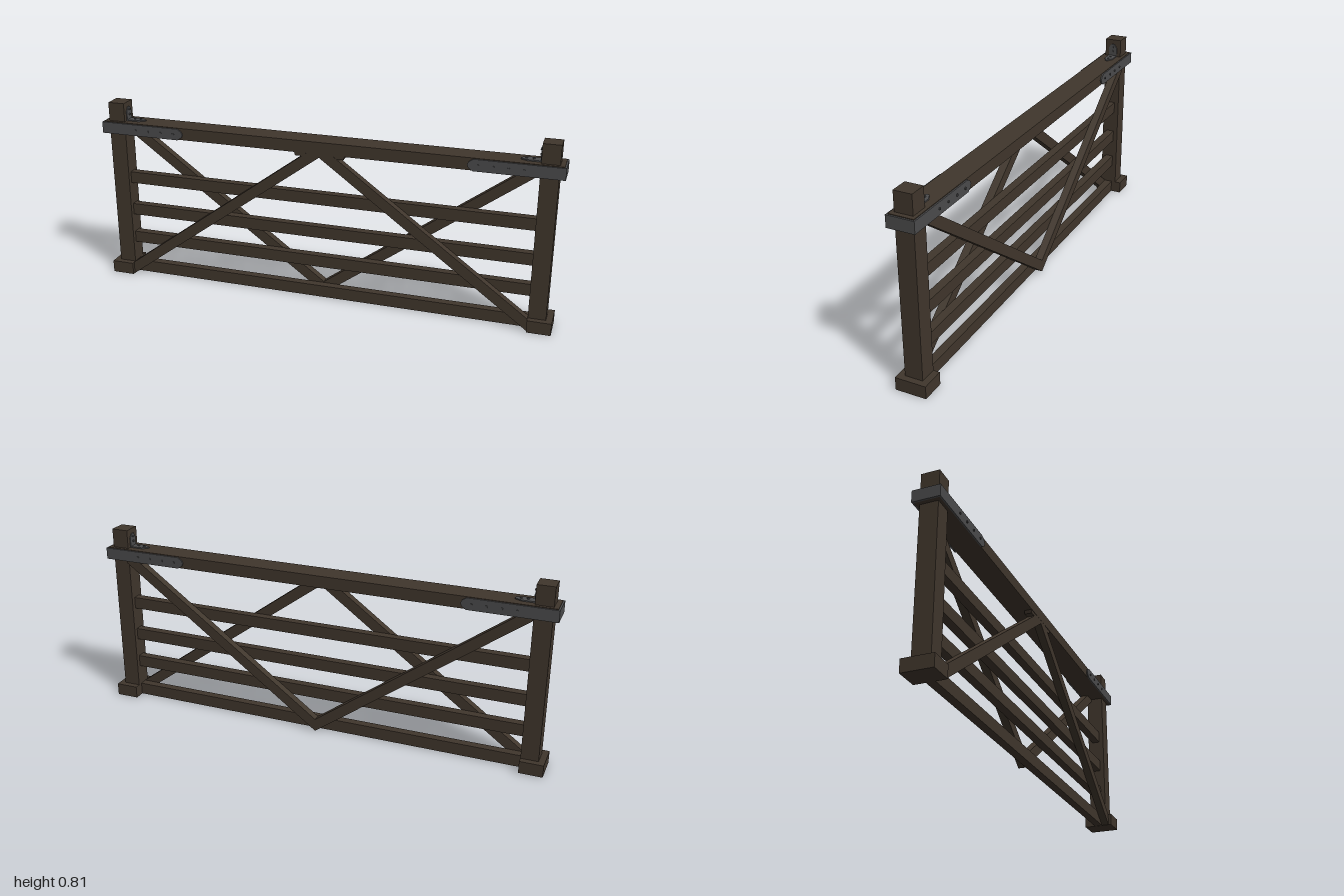
import * as THREE from 'three';

const wood = new THREE.MeshStandardMaterial({ color: 0x40362c });
wood.name = 'dark wood';
const iron = new THREE.MeshStandardMaterial({ color: 0x4b4b4c });
iron.name = 'grey iron';

// Box given by its min and max corners
function block(parent, name, mat, [x0, y0, z0], [x1, y1, z1]) {
  const mesh = new THREE.Mesh(new THREE.BoxGeometry(x1 - x0, y1 - y0, z1 - z0), mat);
  mesh.position.set((x0 + x1) / 2, (y0 + y1) / 2, (z0 + z1) / 2);
  mesh.name = name;
  parent.add(mesh);
  return mesh;
}

// Flat outline in x, y extruded from z0 to z1
function plate(parent, name, mat, points, z0, z1) {
  const shape = new THREE.Shape(points.map(([x, y]) => new THREE.Vector2(x, y)));
  const geo = new THREE.ExtrudeGeometry(shape, { depth: z1 - z0, bevelEnabled: false });
  geo.translate(0, 0, z0);
  const mesh = new THREE.Mesh(geo, mat);
  mesh.name = name;
  parent.add(mesh);
  return mesh;
}

// Small round bolt head centred at a point, along a given axis
function bolt(parent, x, y, z, axis) {
  const mesh = new THREE.Mesh(new THREE.CylinderGeometry(0.005, 0.005, 0.008, 8), iron);
  if (axis === 'z') mesh.rotation.x = Math.PI / 2;
  if (axis === 'x') mesh.rotation.z = Math.PI / 2;
  mesh.position.set(x, y, z);
  mesh.name = 'bolt';
  parent.add(mesh);
}

export function createModel() {
  const gate = new THREE.Group();
  gate.name = 'fieldGate';

  // Horizontal rails
  block(gate, 'topRail', wood, [-0.993, 0.674, -0.052], [0.993, 0.726, 0.052]);
  for (const y of [0.435, 0.282, 0.145])
    block(gate, 'middleRail', wood, [-0.91, y, -0.018], [0.91, y + 0.052, 0.018]);
  block(gate, 'bottomRail', wood, [-0.91, 0.001, -0.018], [0.91, 0.054, 0.018]);

  // Diagonal braces: an inverted V in front, a V at the back
  plate(gate, 'frontBrace', wood, [
    [0, 0.715], [-0.9, 0.055], [-0.9, 0], [-0.899, 0], [0, 0.659], [0.899, 0], [0.9, 0], [0.9, 0.055],
  ], 0.018, 0.0515);
  plate(gate, 'backBrace', wood, [
    [0, 0.002], [0.9, 0.662], [0.9, 0.7], [0.876, 0.7], [0, 0.058],
    [-0.876, 0.7], [-0.9, 0.7], [-0.9, 0.662],
  ], -0.0515, -0.018);
  // Cleat under the top rail where the front braces meet
  plate(gate, 'braceCleat', wood, [
    [-0.11, 0.675], [-0.105, 0.659], [0.105, 0.659], [0.11, 0.675],
  ], 0.017, 0.05);

  // Each end: post, foot, wrapped strap and angle bracket
  for (const side of [1, -1]) {
    const end = new THREE.Group();
    end.name = side > 0 ? 'leftEnd' : 'rightEnd';
    block(end, 'post', wood, [0.9, 0, -0.038], [0.974, 0.808, 0.038]);
    block(end, 'postFoot', wood, [0.9, 0, -0.065], [1, 0.054, 0.065]);

    // Strap with a tapered tip on both faces, joined round the rail end
    const outline = [
      [1, 0.673], [1, 0.723], [0.64, 0.723], [0.622, 0.711], [0.616, 0.698], [0.622, 0.685], [0.64, 0.673],
    ];
    plate(end, 'strapFront', iron, outline, 0.0515, 0.058);
    plate(end, 'strapBack', iron, outline, -0.058, -0.0515);
    block(end, 'strapEnd', iron, [0.992, 0.673, -0.058], [1, 0.723, 0.058]);
    for (const x of [0.66, 0.72, 0.78, 0.84])
      for (const z of [-0.058, 0.058]) bolt(end, x, 0.698, z, 'z');

    // Angle bracket between post and top rail
    const tongue = [[0.9, 0.02], [0.9, -0.02], [0.845, -0.02], [0.818, -0.006], [0.818, 0.006], [0.845, 0.02]];
    const foot = plate(end, 'bracketFoot', iron, tongue, 0, 0.006);
    foot.rotation.x = -Math.PI / 2;
    foot.position.y = 0.725;
    const upright = plate(end, 'bracketUpright', iron, [
      [-0.02, 0.725], [0.02, 0.725], [0.02, 0.768], [0.008, 0.786], [-0.008, 0.786], [-0.02, 0.768],
    ], 0, 0.005);
    upright.rotation.y = -Math.PI / 2;
    upright.position.x = 0.901;
    for (const x of [0.84, 0.868]) bolt(end, x, 0.731, 0, 'y');
    for (const y of [0.752, 0.774]) bolt(end, 0.895, y, 0, 'x');

    // Turn the symmetrical end round for the other side
    if (side < 0) end.rotation.y = Math.PI;
    gate.add(end);
  }
  return gate;
}
